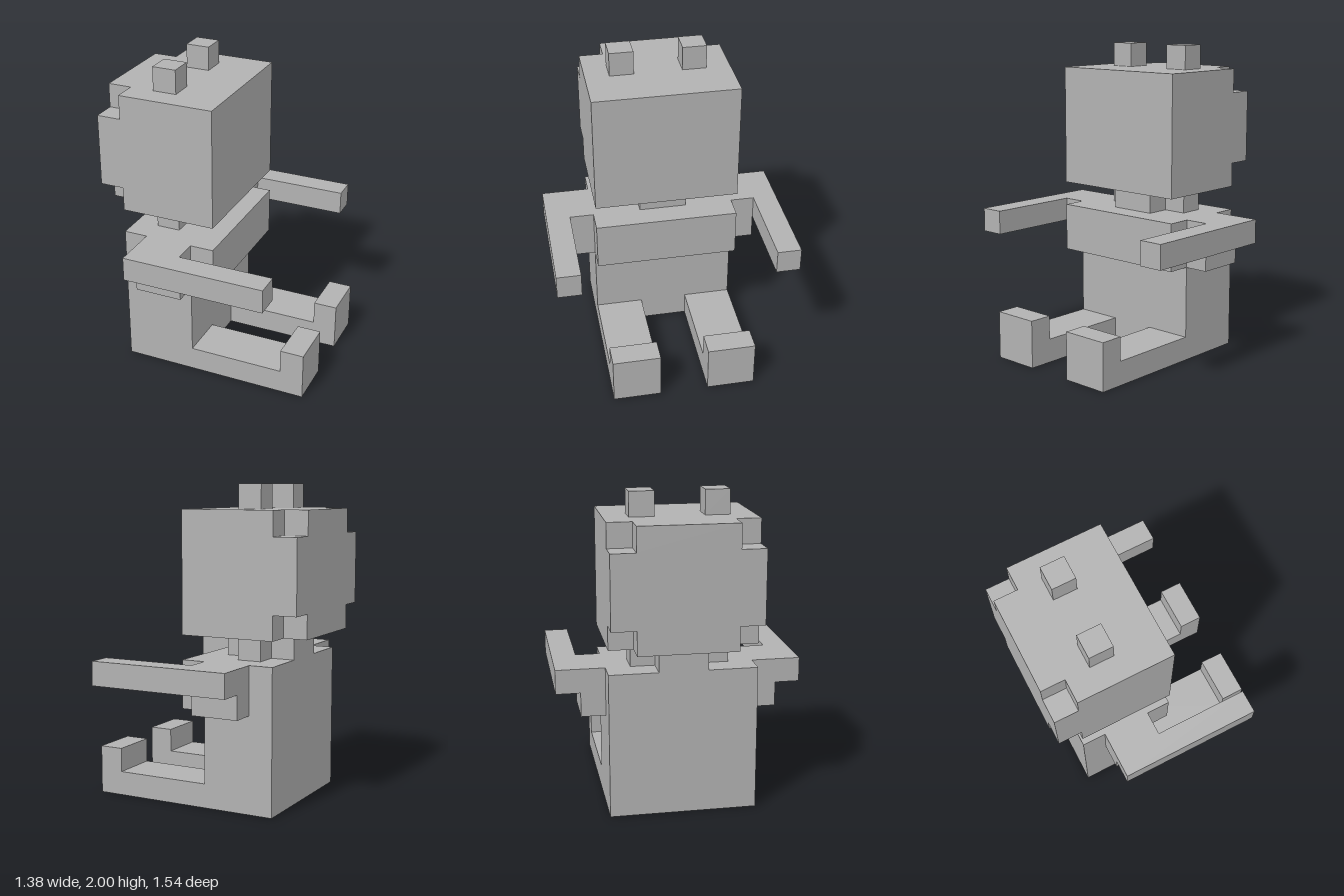
import * as THREE from 'three';

const U = 2 / 13; // one block

export function createModel() {
  const model = new THREE.Group();
  model.name = 'blockFigure';
  const grey = new THREE.MeshStandardMaterial({ color: 0xb2b2b2 });
  grey.name = 'grey';

  const add = (name, geometry, parent = model) => {
    const mesh = new THREE.Mesh(geometry, grey);
    mesh.name = name;
    parent.add(mesh);
    return mesh;
  };

  // Box from its limits, in blocks
  const box = (name, [x0, x1], [y0, y1], [z0, z1], parent) => {
    const g = new THREE.BoxGeometry((x1 - x0) * U, (y1 - y0) * U, (z1 - z0) * U);
    g.translate((x0 + x1) / 2 * U, (y0 + y1) / 2 * U, (z0 + z1) / 2 * U);
    return add(name, g, parent);
  };

  // Outline in blocks, extruded along +z from z0 to z1
  const slab = (points, z0, z1) => {
    const shape = new THREE.Shape(points.map(([x, y]) => new THREE.Vector2(x * U, y * U)));
    const g = new THREE.ExtrudeGeometry(shape, { depth: (z1 - z0) * U, bevelEnabled: false });
    return g.translate(0, 0, z0 * U);
  };

  // Rectangle outline with one-block square notches at its corners
  const notched = (a, b) => [
    [-a + 1, -b], [a - 1, -b], [a - 1, -b + 1], [a, -b + 1], [a, b - 1], [a - 1, b - 1],
    [a - 1, b], [-a + 1, b], [-a + 1, b - 1], [-a, b - 1], [-a, -b + 1], [-a + 1, -b + 1],
  ];

  // Torso with the chest jutting out
  add('torso', slab([[-3.5, 0], [-0.5, 0], [-0.5, 4], [0.5, 4], [0.5, 6], [-3.5, 6]], -3, 3));

  // Cross-shaped neck
  const neck = slab(notched(1.5, 2), 0, 1).rotateX(-Math.PI / 2);
  add('neck', neck.translate(-2 * U, 6 * U, 0));

  // Head, with a back layer that lacks its four corners
  const head = new THREE.Group();
  head.name = 'head';
  model.add(head);
  box('skull', [-3.5, 0.5], [7, 12], [-3, 3], head);
  const back = slab(notched(3, 2.5), 0, 1).rotateY(Math.PI / 2);
  add('backOfHead', back.translate(-4.5 * U, 9.5 * U, 0), head);

  // Paired parts
  for (const [side, s] of [['left', -1], ['right', 1]]) {
    const span = (a, b) => (s > 0 ? [a, b] : [-b, -a]);
    box(side + 'Ear', [-2.5, -1.5], [12, 13], span(1, 2), head);
    box(side + 'Shoulder', [-2.5, -0.5], [4, 6], span(3, 4));
    box(side + 'Arm', [-2.5, 3.5], [5, 6], span(4, 5));
    // Outstretched leg with upturned foot
    add(side + 'Leg', slab([[-0.5, 0], [4.5, 0], [4.5, 2], [3.5, 2], [3.5, 1], [-0.5, 1]], ...span(1, 3)));
  }

  return model;
}
